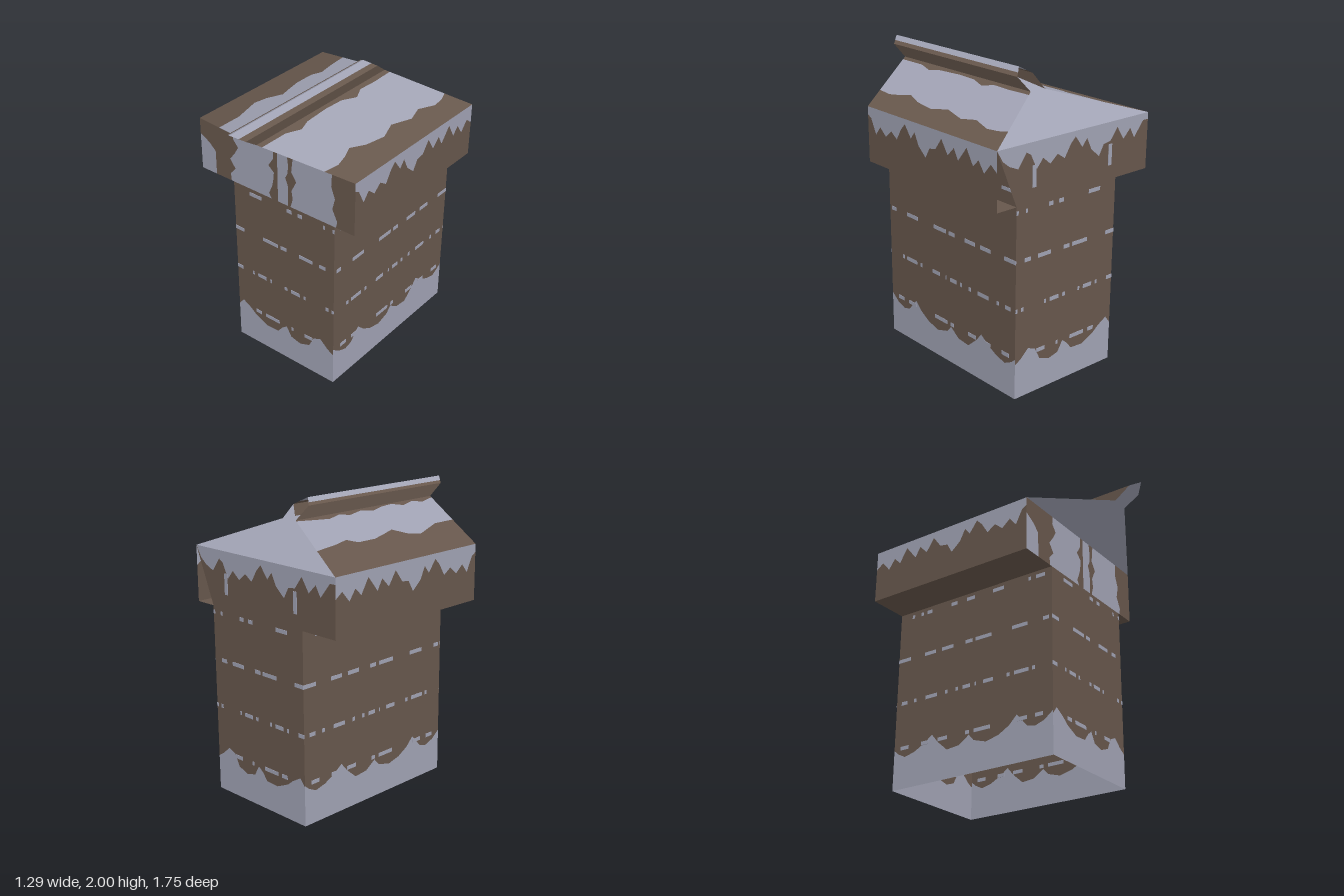
import * as THREE from 'three';

const Z0 = -0.875, Z1 = 0.415;          // back and front planes
const X0 = -0.36, X1 = 0.49;            // lower body
const W = 0.645, EAVE = 1.295, TOP = 1.675, LEAN = 1.415;

// Value of a point list [[t, v], ...] at t; a plain number is constant
function at(edge, t) {
  if (typeof edge === 'number') return edge;
  if (t <= edge[0][0]) return edge[0][1];
  for (let i = 1; i < edge.length; i++) {
    const [a, va] = edge[i - 1], [b, vb] = edge[i];
    if (t <= b) return va + (vb - va) * (t - a) / (b - a);
  }
  return edge[edge.length - 1][1];
}

export function createModel() {
  const model = new THREE.Group();
  model.name = 'building';
  const grey = new THREE.MeshStandardMaterial({ color: 0xa0a2b3, side: THREE.DoubleSide });
  grey.name = 'pale grey';
  const brown = new THREE.MeshStandardMaterial({ color: 0x67574c, side: THREE.DoubleSide });
  brown.name = 'brown';

  function add(name, geometry, material) {
    const mesh = new THREE.Mesh(geometry, material);
    mesh.name = name;
    model.add(mesh);
    return mesh;
  }

  // Neighbouring coloured bands between ragged edges; place(t, v) gives the 3D point
  function bands(name, t0, t1, edges, materials, place) {
    const ts = [t0, t1];
    edges.forEach(e => { if (Array.isArray(e)) e.forEach(p => { if (p[0] > t0 && p[0] < t1) ts.push(p[0]); }); });
    const steps = [...new Set(ts)].sort((a, b) => a - b);
    materials.forEach((material, k) => {
      const pos = [];
      for (let i = 1; i < steps.length; i++) {
        const [s, t] = [steps[i - 1], steps[i]];
        const a = place(s, at(edges[k], s)), b = place(t, at(edges[k], t));
        const c = place(t, at(edges[k + 1], t)), d = place(s, at(edges[k + 1], s));
        pos.push(...a, ...b, ...c, ...a, ...c, ...d);
      }
      const g = new THREE.BufferGeometry();
      g.setAttribute('position', new THREE.Float32BufferAttribute(pos, 3));
      g.computeVertexNormals();
      add(name, g, material);
    });
  }

  // Lower body: ragged pale base below brown walls
  const baseX = [[-0.36, 0.27], [-0.32, 0.32], [-0.25, 0.28], [-0.2, 0.24], [-0.1, 0.195], [0, 0.2],
    [0.04, 0.25], [0.08, 0.28], [0.12, 0.21], [0.2, 0.19], [0.28, 0.22], [0.32, 0.3], [0.38, 0.325],
    [0.44, 0.27], [0.49, 0.24]];
  const baseZ = [[-0.875, 0.28], [-0.84, 0.25], [-0.78, 0.22], [-0.7, 0.24], [-0.62, 0.28], [-0.55, 0.33],
    [-0.5, 0.27], [-0.42, 0.2], [-0.32, 0.21], [-0.24, 0.265], [-0.2, 0.22], [-0.1, 0.19], [0, 0.215],
    [0.08, 0.26], [0.14, 0.32], [0.22, 0.23], [0.28, 0.215], [0.35, 0.24], [0.415, 0.29]];
  for (const z of [Z0, Z1]) bands('bodyEndWall', X0, X1, [0, baseX, EAVE], [grey, brown], (t, v) => [t, v, z]);
  for (const x of [X0, X1]) bands('bodySideWall', Z0, Z1, [0, baseZ, EAVE], [grey, brown], (t, v) => [x, v, t]);

  // Rows of worn dashes: [height, start, end, start, end, ...]
  const dashesX = [
    [1.255, -0.22, -0.12, 0.1, 0.14, 0.19, 0.225, 0.4, 0.415, 0.475, 0.49],
    [0.935, -0.36, -0.285, -0.115, 0.015, 0.04, 0.09, 0.2, 0.31, 0.37, 0.42],
    [0.61, -0.36, -0.31, -0.22, -0.205, -0.17, -0.095, -0.06, -0.045, 0.07, 0.09, 0.125, 0.2, 0.235, 0.25, 0.425, 0.445, 0.475, 0.49],
    [0.285, -0.2, -0.15, -0.11, 0.015, 0.125, 0.14, 0.24, 0.31]];
  const dashesZ = [
    [1.255, -0.77, -0.75, -0.69, -0.67, -0.635, -0.59, -0.42, -0.37, -0.285, -0.215, -0.06, 0.03, 0.23, 0.25, 0.29, 0.36],
    [0.935, -0.875, -0.77, -0.64, -0.545, -0.49, -0.39, -0.285, -0.23, -0.2, -0.07, 0.1, 0.22, 0.345, 0.39],
    [0.61, -0.83, -0.78, -0.72, -0.7, -0.62, -0.52, -0.45, -0.43, -0.36, -0.34, -0.3, -0.24, -0.2, -0.19, -0.13, -0.05, 0.06, 0.08, 0.12, 0.23, 0.26, 0.28],
    [0.285, -0.82, -0.75, -0.64, -0.58, -0.5, -0.42, -0.27, -0.24, -0.2, -0.07, 0.14, 0.22, 0.28, 0.34]];
  function plate(name, w, h, d, x, y, z) {
    add(name, new THREE.BoxGeometry(w, h, d), grey).position.set(x, y, z);
  }
  for (const [y, ...ends] of dashesX)
    for (let i = 0; i < ends.length; i += 2)
      for (const z of [Z0, Z1]) plate('endDash', ends[i + 1] - ends[i], 0.026, 0.006, (ends[i] + ends[i + 1]) / 2, y, z);
  for (const [y, ...ends] of dashesZ)
    for (let i = 0; i < ends.length; i += 2)
      for (const x of [X0, X1]) plate('sideDash', 0.006, 0.026, ends[i + 1] - ends[i], x, y, (ends[i] + ends[i + 1]) / 2);

  // Overhanging upper storey: sides, underside and back
  const frost = [[-0.875, 1.54], [-0.82, 1.58], [-0.76, 1.51], [-0.71, 1.58], [-0.66, 1.53], [-0.6, 1.63],
    [-0.52, 1.53], [-0.48, 1.6], [-0.42, 1.54], [-0.36, 1.63], [-0.3, 1.55], [-0.24, 1.54], [-0.2, 1.47],
    [-0.13, 1.53], [-0.09, 1.61], [-0.05, 1.56], [0.01, 1.64], [0.05, 1.6], [0.1, 1.52], [0.16, 1.56],
    [0.22, 1.51], [0.28, 1.56], [0.33, 1.5], [0.38, 1.6], [0.415, 1.62]];
  for (const x of [-W, W]) bands('upperSideWall', Z0, Z1, [EAVE, frost, TOP], [brown, grey], (t, v) => [x, v, t]);
  for (const [a, b] of [[-W, X0], [X1, W]]) bands('underside', Z0, Z1, [a, b], [brown], (t, v) => [v, EAVE, t]);
  const backFrost = [...frost.filter(p => p[0] > -W), [0.48, 1.53], [0.55, 1.56], [0.6, 1.6], [W, TOP]];
  bands('upperBackWall', -W, W, [[[-W, EAVE], [X1, EAVE], [W, TOP]], backFrost, TOP], [brown, grey], (t, v) => [t, v, Z0]);
  for (const x of [-0.3, 0.35]) plate('backSlot', 0.03, 0.14, 0.006, x, 1.46, Z0);

  // Upper front wall with upright stripes
  bands('upperFrontWall', EAVE, TOP, [
    -W,
    [[1.295, -0.515], [1.47, -0.515], [1.52, -0.57], [1.56, -W]],
    [[1.295, -0.38], [1.35, -0.385], [1.4, -0.34], [1.46, -0.385], [1.52, -0.34], [1.57, -0.31], [1.62, -0.35], [1.675, -0.345]],
    [[1.295, -0.03], [1.33, -0.05], [1.4, -0.02], [1.45, -0.01], [1.5, -0.005], [1.54, -0.05], [1.6, -0.01], [1.675, -0.005]],
    0.025,
    [[1.295, 0.11], [1.45, 0.11], [1.5, 0.09], [1.54, 0.11], [1.6, 0.115], [1.675, 0.105]],
    [[1.295, 0.13], [1.36, 0.15], [1.42, 0.14], [1.5, 0.18], [1.56, 0.14], [1.675, 0.155]],
    [[1.295, 0.5], [1.34, 0.51], [1.42, 0.47], [1.5, 0.49], [1.58, 0.46], [1.675, 0.465]],
    W], [grey, brown, grey, brown, grey, brown, grey, brown], (t, v) => [v, t, Z1]);

  // Roof: a gable with a raised ridge, leaning forward
  const lean = (x, y, z) => [x, y, z + (y - TOP) * LEAN];
  const leftSlope = (t, x) => lean(x, TOP + (x + W) / W * 0.205, t);
  const rightSlope = (t, x) => lean(x, TOP + (W - x) / (W - 0.12) * 0.205, t);
  bands('leftRoof', Z0, Z1, [-W,
    [[-0.87, -0.36], [-0.72, -0.34], [-0.6, -0.31], [-0.52, -0.36], [-0.37, -0.36], [-0.27, -0.33], [-0.18, -0.3],
      [-0.07, -0.38], [0.03, -0.41], [0.13, -0.37], [0.23, -0.33], [0.4, -0.33]],
    [[-0.875, -0.01], [-0.68, -0.04], [-0.6, -0.05], [-0.5, -0.02], [-0.42, -0.05], [-0.3, -0.02], [-0.2, -0.05],
      [-0.1, -0.02], [0, -0.01], [0.1, -0.05], [0.2, -0.02], [0.3, -0.05], [0.41, -0.02]],
    0], [brown, grey, brown], leftSlope);
  bands('rightRoof', Z0, Z1, [0.12,
    [[-0.875, 0.15], [-0.7, 0.155], [-0.55, 0.15], [-0.45, 0.185], [-0.35, 0.15], [-0.2, 0.145], [0, 0.155],
      [0.1, 0.18], [0.2, 0.15], [0.41, 0.15]],
    [[-0.87, 0.48], [-0.8, 0.5], [-0.7, 0.51], [-0.58, 0.47], [-0.45, 0.5], [-0.3, 0.46], [-0.15, 0.5], [0, 0.48],
      [0.1, 0.44], [0.2, 0.47], [0.3, 0.49], [0.41, 0.48]],
    W], [brown, grey, brown], rightSlope);

  // Ridge: upright sides, peaked top and the strip beneath it
  const ridge = [[0, 1.88], [0, 1.96], [0.025, 1.975], [0.065, 2], [0.105, 1.974], [0.135, 1.955], [0.12, 1.88], [0, 1.88]];
  [brown, brown, grey, grey, brown, brown, grey].forEach((material, i) => {
    const [a, b] = [ridge[i], ridge[i + 1]];
    bands(i === 6 ? 'ridgeBed' : 'ridge', Z0, Z1, [0, 1], [material],
      (t, v) => lean(a[0] + (b[0] - a[0]) * v, a[1] + (b[1] - a[1]) * v, t));
  });

  // Leaning gable ends
  function gable(name, points, z) {
    const g = new THREE.ShapeGeometry(new THREE.Shape(points.map(p => new THREE.Vector2(...p))));
    const p = g.attributes.position;
    for (let i = 0; i < p.count; i++) p.setXYZ(i, ...lean(p.getX(i), p.getY(i), z));
    g.computeVertexNormals();
    add(name, g, grey);
  }
  const foot = [[-W, TOP], [W, TOP], [0.12, 1.88], [0.135, 1.955]];
  gable('frontGable', [...foot, [0.065, 2], [0, 1.96], [0, 1.88]], Z1);
  gable('backGable', [...foot, [0, 1.88]], Z0);

  return model;
}
